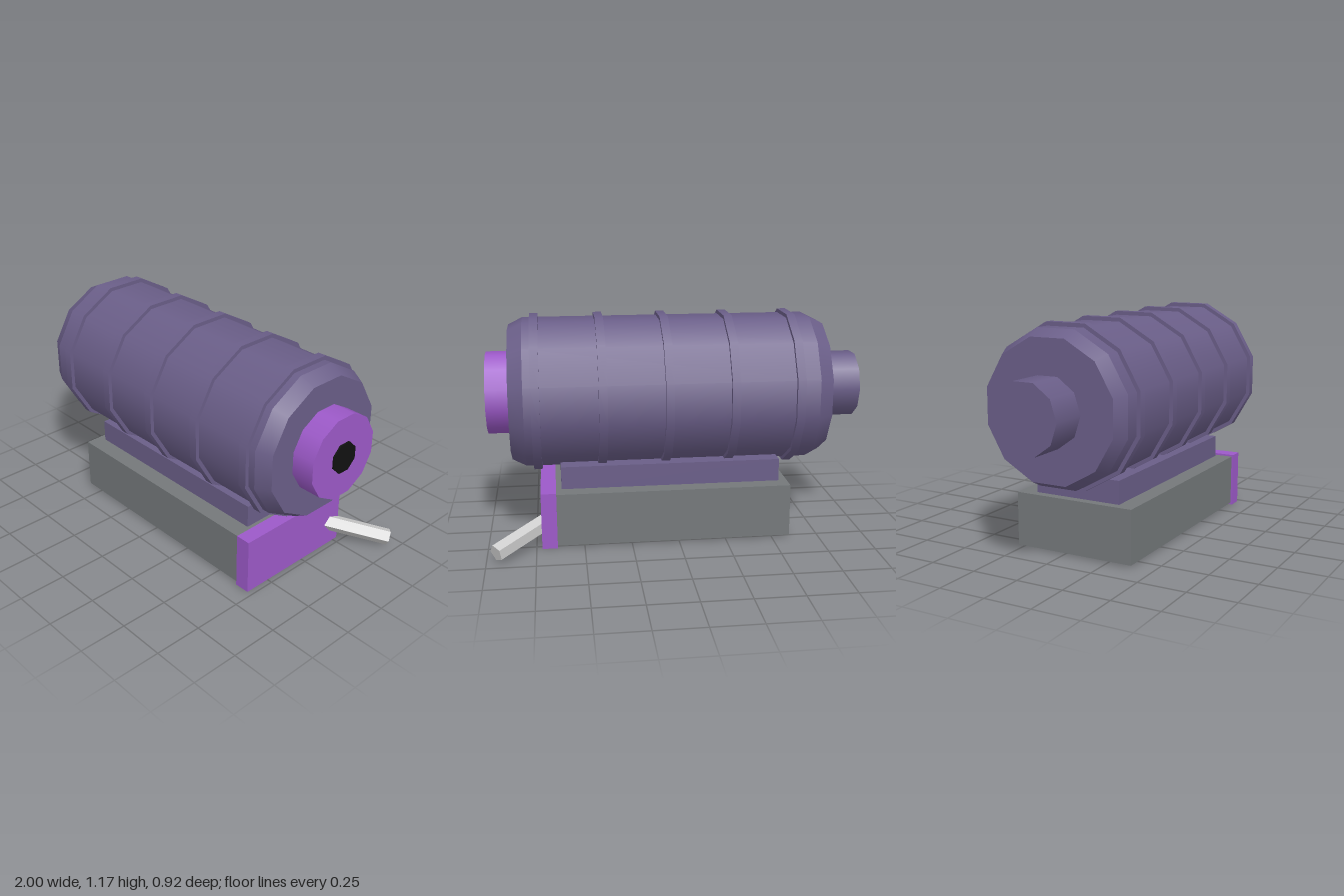
import * as THREE from 'three';

const AXIS_Y = 0.767, AXIS_Z = 0.054;

export function createModel() {
  const model = new THREE.Group();
  model.name = 'motor';

  const paint = (name, color) => {
    const m = new THREE.MeshStandardMaterial({ color });
    m.name = name;
    return m;
  };
  const violetGrey = paint('violet grey', 0x6a5e88);
  const purple = paint('purple', 0x9c59c8);
  const grey = paint('grey', 0x74787a);
  const silver = paint('silver', 0xcccccc);
  const black = paint('black', 0x111111);

  const add = (name, geometry, material) => {
    const mesh = new THREE.Mesh(geometry, material);
    mesh.name = name;
    model.add(mesh);
    return mesh;
  };

  // Round part on the motor axis from x0 to x1; flats face up and down
  const drum = (name, x0, x1, r0, r1, sides, material, open = false) => {
    const start = sides % 4 === 0 ? Math.PI / sides : 0;
    const g = new THREE.CylinderGeometry(r1, r0, x1 - x0, sides, 1, open, start);
    g.rotateZ(-Math.PI / 2);
    return add(name, g.translate((x0 + x1) / 2, AXIS_Y, AXIS_Z), material);
  };

  // Block between two corners
  const block = (name, [x0, y0, z0], [x1, y1, z1], material) => {
    const g = new THREE.BoxGeometry(x1 - x0, y1 - y0, z1 - z0);
    return add(name, g.translate((x0 + x1) / 2, (y0 + y1) / 2, (z0 + z1) / 2), material);
  };

  // Barrel with bevelled ends
  drum('barrel', -0.725, 0.79, 0.3965, 0.3965, 12, violetGrey);
  drum('leftBevel', 0.79, 0.865, 0.3965, 0.359, 12, violetGrey);
  drum('rightBevel', -0.8, -0.725, 0.359, 0.3965, 12, violetGrey);

  // Raised bands
  for (let i = 0; i < 5; i++) {
    const x = -0.62 + i * 0.3375;
    drum('band' + (i + 1), x - 0.022, x + 0.022, 0.417, 0.417, 12, violetGrey);
  }

  // Rear stub, coloured hub and its dark bore
  drum('stub', -1, -0.8, 0.178, 0.178, 10, violetGrey);
  drum('hub', 0.865, 0.986, 0.218, 0.218, 12, purple);
  drum('bore', 0.986, 0.995, 0.081, 0.081, 8, black);

  // Mounting base
  block('saddle', [-0.55, 0.28, -0.183], [0.612, 0.41, 0.292], violetGrey);
  block('base', [-0.595, 0.01, -0.272], [0.641, 0.29, 0.383], grey);
  block('endPlate', [0.641, 0, -0.282], [0.721, 0.3, 0.393], purple);

  // Faceted lever slanting out of the end plate
  const dir = new THREE.Vector3(1, -0.3, -0.87).normalize();
  const side = new THREE.Vector3(0.87, 0, 1).normalize();
  const length = 0.38;
  const rod = new THREE.CylinderGeometry(0.045, 0.045, length, 5).toNonIndexed();
  rod.computeVertexNormals();
  rod.translate(0, -length / 2, 0);
  rod.applyMatrix4(new THREE.Matrix4().makeBasis(dir.clone().cross(side), dir, side));
  rod.translate(0.95, 0.051, -0.432);
  add('lever', rod, silver);

  return model;
}
